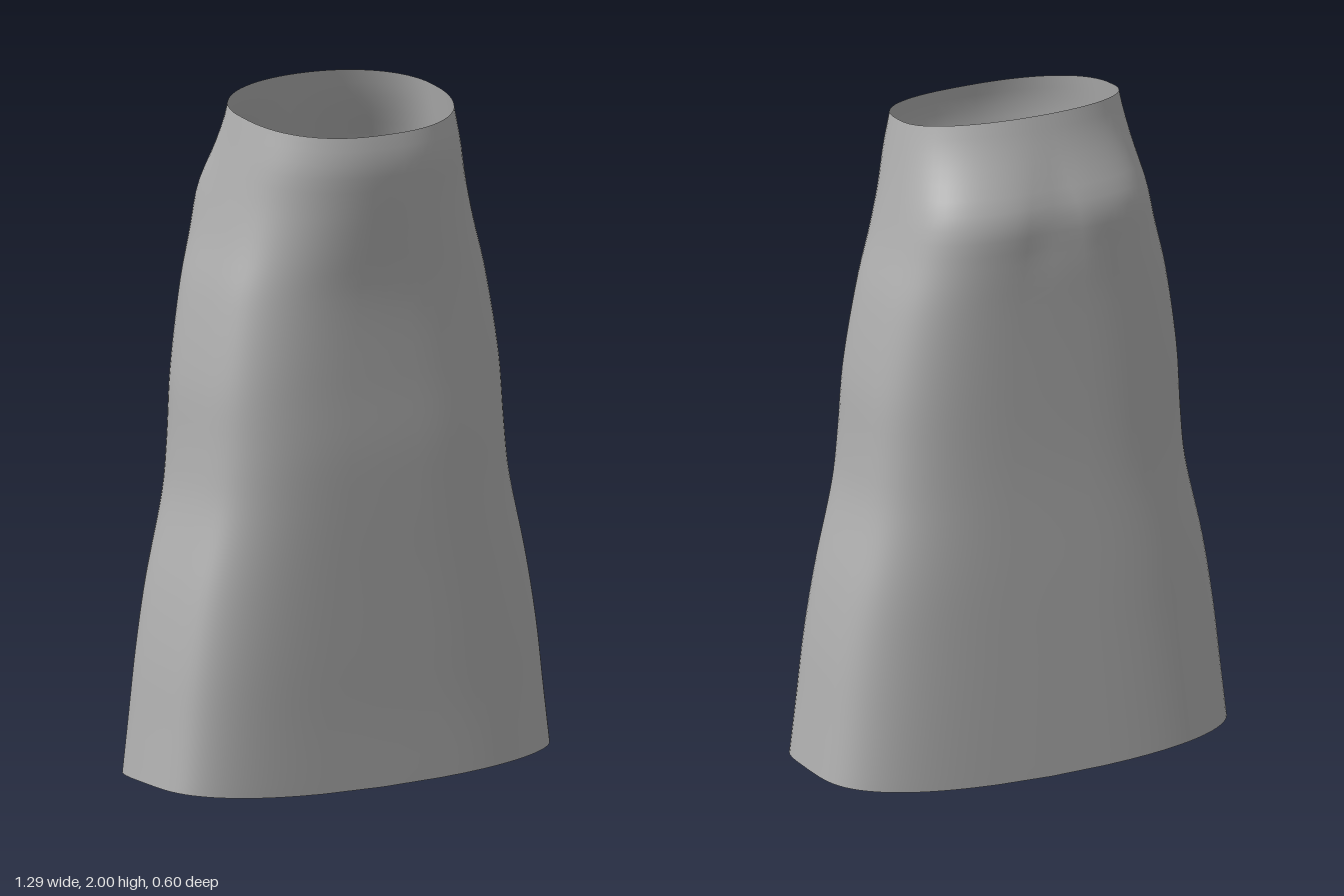
import * as THREE from 'three';

// Profile rows: height, half width, front depth, back depth, front squareness, back squareness
const ROWS = [
  [0.00, 0.648, 0.258, 0.273, 4.2, 3.7],
  [0.20, 0.625, 0.258, 0.272, 4.0, 3.6],
  [0.40, 0.602, 0.261, 0.271, 3.8, 3.5],
  [0.60, 0.568, 0.264, 0.270, 3.6, 3.5],
  [0.85, 0.512, 0.268, 0.268, 3.4, 3.4],
  [1.00, 0.496, 0.269, 0.269, 3.3, 3.4],
  [1.20, 0.482, 0.264, 0.274, 3.2, 3.4],
  [1.45, 0.442, 0.264, 0.283, 2.9, 3.4],
  [1.60, 0.405, 0.278, 0.292, 2.6, 3.3],
  [1.72, 0.380, 0.291, 0.297, 2.4, 3.1],
  [1.84, 0.357, 0.300, 0.258, 2.4, 2.5],
  [1.92, 0.343, 0.286, 0.231, 2.4, 2.2],
  [2.00, 0.329, 0.272, 0.210, 2.4, 2.1],
];

// Smooth interpolation of one profile column at height y
function profile(col, y) {
  const last = ROWS.length - 1;
  let i = 0;
  while (i < last - 1 && y > ROWS[i + 1][0]) i++;
  const slope = (k) => {
    const a = ROWS[Math.max(k - 1, 0)], b = ROWS[Math.min(k + 1, last)];
    return (b[col] - a[col]) / (b[0] - a[0]);
  };
  const [p, q] = [ROWS[i], ROWS[i + 1]];
  const h = q[0] - p[0], t = (y - p[0]) / h, t2 = t * t, t3 = t2 * t;
  return p[col] * (2 * t3 - 3 * t2 + 1) + q[col] * (3 * t2 - 2 * t3)
    + h * (slope(i) * (t3 - 2 * t2 + t) + slope(i + 1) * (t3 - t2));
}

function skirtPoint(angle, u) {
  const c = Math.cos(angle), s = Math.sin(angle), front = s >= 0;
  // The waist rises to the back, the hem rises at the sides
  const top = 1.965 - s * (front ? 0.045 : 0.035);
  const hem = 0.04 * Math.abs(c);
  const y = hem + (top - hem) * u;
  const power = 2 / profile(front ? 4 : 5, y);
  const x = Math.sign(c) * Math.abs(c) ** power * profile(1, y);
  let z = Math.sign(s) * Math.abs(s) ** power * profile(front ? 2 : 3, y);
  // Slight hollow in the middle of the seat
  if (!front) z += 0.013 * Math.exp(-((x / 0.06) ** 2) - ((y - 1.7) / 0.13) ** 2);
  return [x, y, z];
}

export function createModel() {
  const group = new THREE.Group();
  group.name = 'skirt';
  const fabric = new THREE.MeshStandardMaterial({ color: 0xb0b0b0, side: THREE.DoubleSide });
  fabric.name = 'grey fabric';

  // Open tube of cross-section loops from hem to waist
  const SIDES = 72, RINGS = 48, positions = [], index = [];
  for (let r = 0; r <= RINGS; r++) {
    for (let k = 0; k < SIDES; k++) {
      positions.push(...skirtPoint((k / SIDES) * Math.PI * 2, r / RINGS));
      if (r === RINGS) continue;
      const a = r * SIDES + k, b = r * SIDES + (k + 1) % SIDES;
      index.push(a, a + SIDES, b, b, a + SIDES, b + SIDES);
    }
  }
  const geometry = new THREE.BufferGeometry();
  geometry.setAttribute('position', new THREE.Float32BufferAttribute(positions, 3));
  geometry.setIndex(index);
  geometry.computeVertexNormals();

  const body = new THREE.Mesh(geometry, fabric);
  body.name = 'skirtBody';
  group.add(body);
  return group;
}
